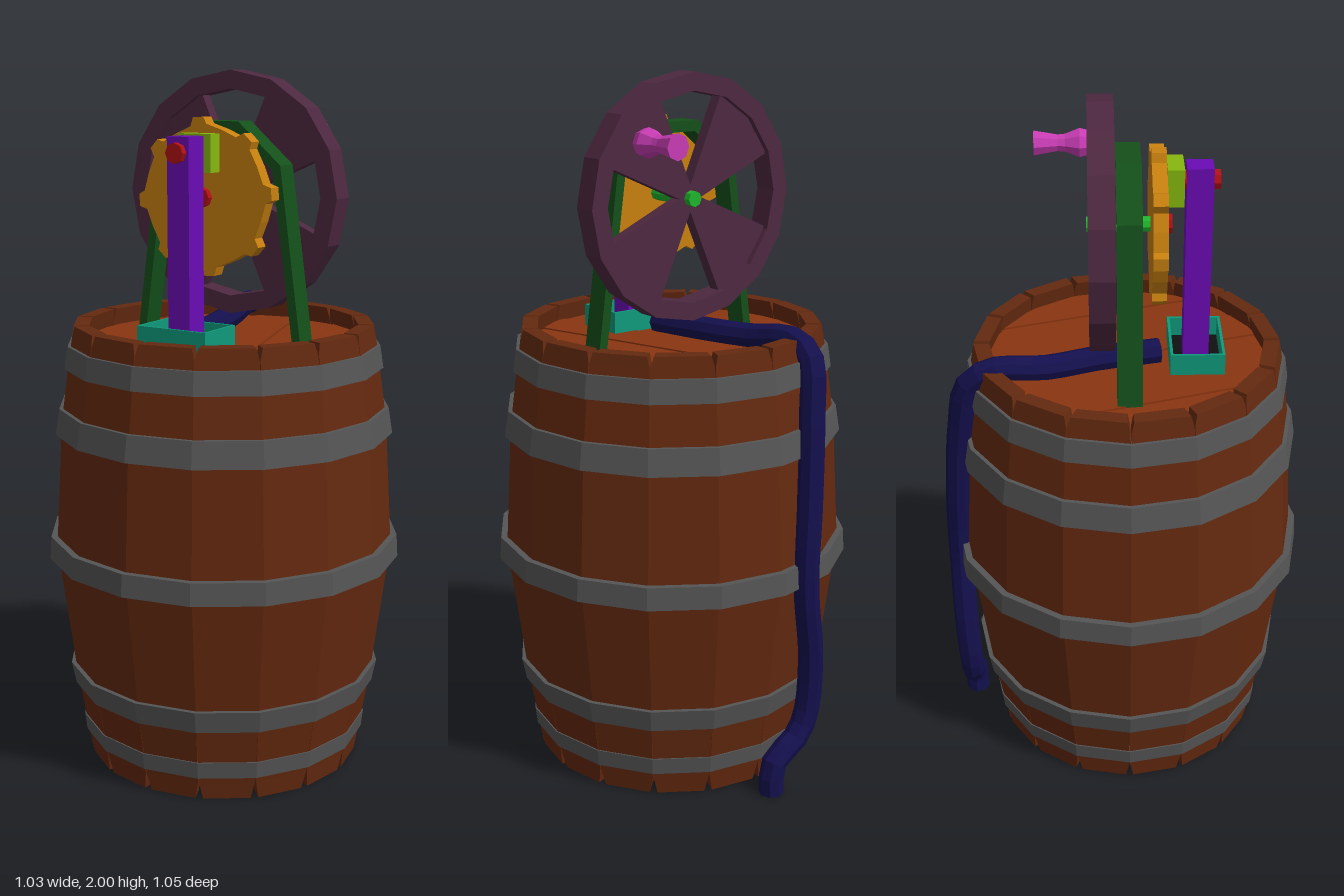
import * as THREE from 'three';

const mat = (color) => new THREE.MeshStandardMaterial({ color, flatShading: true, side: THREE.DoubleSide });
const WOOD = mat(0x64290f), LID = mat(0x8a3510), IRON = mat(0x555555), WHEEL = mat(0x4d2840), GOLD = mat(0xc8800f),
  FRAME = mat(0x14501a), AXLE = mat(0x1fb52c), POST = mat(0x6a0cb5), LIME = mat(0x86b80f), RED = mat(0xb01015),
  TEAL = mat(0x0f9a7c), BLACK = mat(0x101010), PINK = mat(0xc83cb4), NAVY = mat(0x14104e);
const SIDES = 16, STEP = (Math.PI * 2) / SIDES;

function add(parent, name, geometry, material, x = 0, y = 0, z = 0) {
  const mesh = new THREE.Mesh(geometry, material);
  mesh.name = name;
  mesh.position.set(x, y, z);
  parent.add(mesh);
  return mesh;
}

const shapeOf = (pts) => new THREE.Shape(pts.map(([x, y]) => new THREE.Vector2(x, y)));
const extrude = (shape, depth) => new THREE.ExtrudeGeometry(shape, { depth, bevelEnabled: false });
const polar = (r, a) => [r * Math.cos(a), r * Math.sin(a)];
const ngon = (r, n = SIDES) => Array.from({ length: n }, (_, i) => polar(r, (i / n) * Math.PI * 2));

// Cylinder lying along z
function rod(r, z0, z1, sides = 8) {
  const g = new THREE.CylinderGeometry(r, r, z1 - z0, sides);
  return g.rotateX(Math.PI / 2).translate(0, 0, (z0 + z1) / 2);
}

// One bowed stave, its ends narrowed so notches open between neighbours
function staveGeometry() {
  const levels = [ // height, outer radius, narrowing angle
    [0, 0.402, 0.028], [0.055, 0.412, 0.003], [0.25, 0.445, 0], [0.65, 0.496, 0],
    [1.02, 0.474, 0], [1.21, 0.448, 0], [1.27, 0.438, 0.003], [1.3, 0.432, 0.02],
  ];
  const pos = [], index = [];
  levels.forEach(([y, r, gap], k) => {
    const h = STEP / 2 - gap;
    const inner = r - 0.045;
    for (const [q, t] of [[r, -h], [r, h], [inner, h], [inner, -h]]) pos.push(q * Math.sin(t), y, q * Math.cos(t));
    if (k === 0) return;
    for (let i = 0; i < 4; i++) {
      const a = (k - 1) * 4 + i, b = (k - 1) * 4 + (i + 1) % 4;
      index.push(a, b, b + 4, a, b + 4, a + 4);
    }
  });
  const e = (levels.length - 1) * 4;
  index.push(0, 2, 1, 0, 3, 2, e, e + 1, e + 2, e, e + 2, e + 3);
  const g = new THREE.BufferGeometry();
  g.setAttribute('position', new THREE.Float32BufferAttribute(pos, 3));
  g.setIndex(index);
  const flat = g.toNonIndexed();
  flat.computeVertexNormals();
  return flat;
}

function createBarrel() {
  const barrel = new THREE.Group();
  barrel.name = 'barrel';
  barrel.position.z = 0.01;
  const stave = staveGeometry();
  for (let i = 0; i < SIDES; i++) add(barrel, 'stave', stave, WOOD).rotation.y = (i + 0.5) * STEP;

  // Iron hoops: centre height, height, bottom radius, top radius
  for (const [y, h, r0, r1] of [
    [0.095, 0.05, 0.421, 0.427], [0.255, 0.065, 0.45, 0.463], [0.65, 0.065, 0.517, 0.513],
    [1.025, 0.075, 0.492, 0.48], [1.21, 0.065, 0.462, 0.452],
  ]) {
    const a = y - h / 2, b = y + h / 2;
    const profile = [[r0 - 0.04, a], [r0, a], [r1, b], [r1 - 0.04, b], [r0 - 0.04, a]];
    add(barrel, 'hoop', new THREE.LatheGeometry(profile.map((p) => new THREE.Vector2(...p)), SIDES), IRON);
  }

  // Lid and base
  add(barrel, 'lidBacking', new THREE.CylinderGeometry(0.395, 0.395, 0.03, SIDES), LID, 0, 1.225);
  add(barrel, 'base', new THREE.CylinderGeometry(0.372, 0.372, 0.03, SIDES), WOOD, 0, 0.035);
  const R = 0.394, count = 6;
  const lid = new THREE.Group();
  lid.name = 'lidPlanks';
  for (let i = 0; i < count; i++) {
    const x0 = -R + (2 * R * i) / count + 0.002, x1 = -R + (2 * R * (i + 1)) / count - 0.002;
    const edge = [];
    for (let k = 0; k <= 4; k++) {
      const x = x0 + ((x1 - x0) * k) / 4;
      edge.push([x, Math.sqrt(R * R - x * x)]);
    }
    const pts = [...edge, ...edge.map(([x, y]) => [x, -y]).reverse()];
    add(lid, 'plank', extrude(shapeOf(pts), 0.012 + (i % 2) * 0.003).rotateX(-Math.PI / 2), LID, 0, 1.238);
  }
  lid.rotation.y = 0.3;
  barrel.add(lid);
  return barrel;
}

function createWheel() {
  const wheel = new THREE.Group();
  wheel.name = 'handWheel';
  wheel.position.set(0, 1.66, -0.095);
  const rim = shapeOf(ngon(0.343));
  rim.holes.push(new THREE.Path(ngon(0.292).map((p) => new THREE.Vector2(...p))));
  add(wheel, 'rim', extrude(rim, 0.07), WHEEL);

  // Four fan-shaped spokes on the diagonals
  const spread = 0.42;
  const fan = shapeOf([
    [0.0, -0.016], polar(0.3, -spread), polar(0.31, -spread / 2), polar(0.31, 0), polar(0.31, spread / 2),
    polar(0.3, spread), [0.0, 0.016],
  ]);
  const fanGeometry = extrude(fan, 0.036);
  for (let i = 0; i < 4; i++) {
    add(wheel, 'spoke', fanGeometry, WHEEL, 0, 0, 0.017).rotation.z = Math.PI / 4 + (i * Math.PI) / 2;
  }

  // Crank grip on the back of the wheel
  const grip = [[0, 0], [0.036, 0], [0.042, 0.025], [0.026, 0.065], [0.024, 0.085], [0.036, 0.15], [0, 0.15]];
  const gripGeometry = new THREE.LatheGeometry(grip.map((p) => new THREE.Vector2(...p)), 8).rotateX(-Math.PI / 2);
  add(wheel, 'crankGrip', gripGeometry, PINK, 0.17, 0.165, 0.005);
  return wheel;
}

function createMechanism() {
  const group = new THREE.Group();
  group.name = 'mechanism';

  // Bent strap frame straddling the axle
  const outer = [[0.276, 1.245], [0.205, 1.75], [0.07, 1.865]];
  const inner = [[0.25, 1.245], [0.18, 1.735], [0.06, 1.835]];
  const mirror = (pts) => pts.map(([x, y]) => [-x, y]);
  const strap = shapeOf([...outer, ...mirror(outer).reverse(), ...mirror(inner), ...[...inner].reverse()]);
  add(group, 'supportFrame', extrude(strap, 0.068), FRAME, 0, 0, -0.022);

  // Toothed disc
  const teeth = 8, pts = [];
  for (let i = 0; i < teeth; i++) {
    for (const [f, r] of [[0, 0.218], [0.2, 0.219], [0.28, 0.196], [0.6, 0.194], [0.94, 0.2]]) {
      pts.push(polar(r, ((i + f) / teeth) * Math.PI * 2));
    }
  }
  add(group, 'gear', extrude(shapeOf(pts), 0.04), GOLD, 0, 1.66, 0.073);
  add(group, 'axle', rod(0.022, -0.1, 0.08), AXLE, 0, 1.66);
  add(group, 'gearPin', rod(0.028, 0.1, 0.132), RED, 0, 1.66);

  // Post with its block and pin
  add(group, 'post', new THREE.BoxGeometry(0.07, 0.59, 0.072), POST, 0, 1.535, 0.203);
  add(group, 'postBlock', new THREE.BoxGeometry(0.108, 0.104, 0.045), LIME, 0, 1.783, 0.138);
  add(group, 'postPin', rod(0.028, 0.15, 0.258), RED, 0, 1.787);

  // Open socket around the foot of the post
  const wall = 0.008;
  for (const s of [-1, 1]) {
    add(group, 'socketSide', new THREE.BoxGeometry(wall, 0.07, 0.152), TEAL, s * 0.109, 1.28, 0.204);
    add(group, 'socketEnd', new THREE.BoxGeometry(0.226, 0.07, wall), TEAL, 0, 1.28, 0.204 + s * 0.072);
  }
  add(group, 'socketFloor', new THREE.BoxGeometry(0.21, 0.01, 0.136), BLACK, 0, 1.254, 0.204);
  return group;
}

// Hose from the lid, over the rim and down the back
function createHose() {
  const path = new THREE.CatmullRomCurve3([
    [-0.02, 1.28, 0.1], [-0.06, 1.28, -0.07], [-0.11, 1.28, -0.22], [-0.14, 1.293, -0.36], [-0.14, 1.25, -0.43],
    [-0.12, 1.1, -0.463], [-0.1, 0.85, -0.485], [-0.09, 0.62, -0.49], [-0.12, 0.38, -0.485],
    [-0.11, 0.2, -0.478], [-0.07, 0.14, -0.478], [0.0, 0.1, -0.478], [0.015, 0.05, -0.478], [0.015, 0, -0.478],
  ].map((p) => new THREE.Vector3(...p)), false, 'centripetal');
  const hose = new THREE.Group();
  hose.name = 'hose';
  add(hose, 'hoseTube', new THREE.TubeGeometry(path, 40, 0.036, 8), NAVY);
  const end = new THREE.CircleGeometry(0.036, 8).rotateX(Math.PI / 2);
  add(hose, 'hoseEnd', end, NAVY, 0.015, 0.001, -0.478);
  return hose;
}

export function createModel() {
  const model = new THREE.Group();
  model.name = 'barrelPump';
  model.add(createBarrel(), createWheel(), createMechanism(), createHose());
  return model;
}
